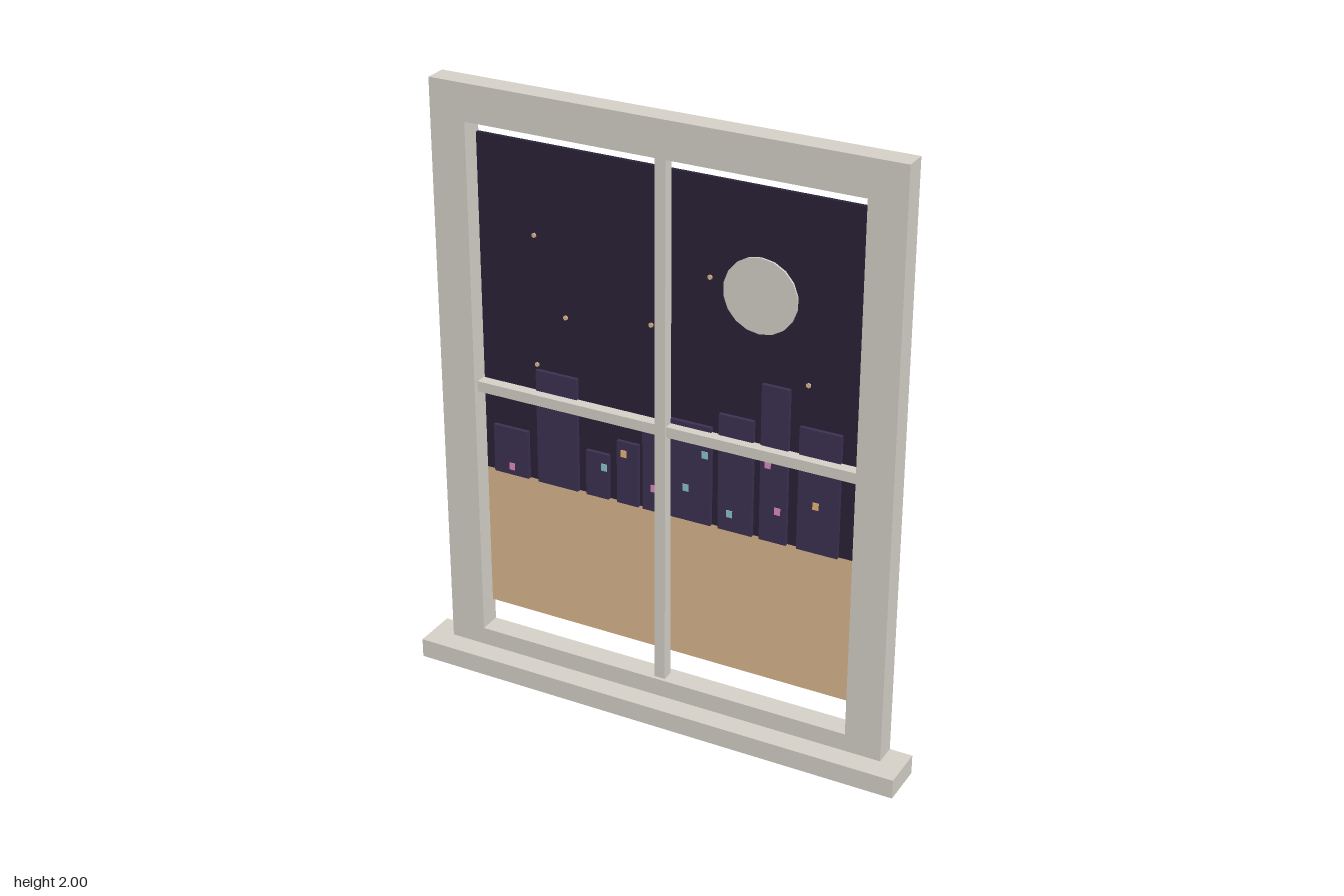
import * as THREE from 'three';

const mat = (color) => new THREE.MeshStandardMaterial({ color });

export function createModel() {
  const root = new THREE.Group();
  root.name = 'nightWindow';

  const cream = mat(0xd8d3cb);
  const night = mat(0x2b2239);
  const tower = mat(0x3d3152);
  const sand = mat(0xdeba90);
  const lights = { pink: mat(0xe58fc0), teal: mat(0x8fc9d0), amber: mat(0xf0b878) };

  // Box given by its extents on each axis
  const box = (name, x0, x1, y0, y1, z0, z1, material, parent = root) => {
    const m = new THREE.Mesh(new THREE.BoxGeometry(x1 - x0, y1 - y0, z1 - z0), material);
    m.position.set((x0 + x1) / 2, (y0 + y1) / 2, (z0 + z1) / 2);
    m.name = name;
    parent.add(m);
    return m;
  };

  // Frame: one extruded rectangle with the opening cut out
  const rect = (C, w, y0, y1) => new C([
    new THREE.Vector2(-w, y0), new THREE.Vector2(w, y0),
    new THREE.Vector2(w, y1), new THREE.Vector2(-w, y1),
  ]);
  const outline = rect(THREE.Shape, 0.77, 0.065, 2);
  outline.holes.push(rect(THREE.Path, 0.65, 0.125, 1.88));
  const frame = new THREE.Mesh(
    new THREE.ExtrudeGeometry(outline, { depth: 0.075, bevelEnabled: false }), cream);
  frame.position.z = -0.075;
  frame.name = 'frame';
  root.add(frame);

  // Sill and glazing bars
  box('sill', -0.845, 0.845, 0, 0.065, -0.075, 0.075, cream);
  box('verticalBar', -0.018, 0.018, 0.125, 1.88, -0.05, -0.012, cream);
  box('horizontalBar', -0.65, 0.65, 0.985, 1.02, -0.055, -0.018, cream);

  // Backdrop panels
  box('sky', -0.65, 0.65, 0.7, 1.83, -0.074, -0.061, night);
  box('ground', -0.65, 0.65, 0.205, 0.7, -0.074, -0.061, sand);

  // Moon disc
  const moon = new THREE.Mesh(new THREE.CylinderGeometry(0.12, 0.12, 0.008, 18), cream);
  moon.rotation.x = Math.PI / 2;
  moon.position.set(0.305, 1.495, -0.058);
  moon.name = 'moon';
  root.add(moon);

  // Skyline: left, right, top
  const skyline = new THREE.Group();
  skyline.name = 'skyline';
  root.add(skyline);
  [
    [-0.615, -0.49, 0.865], [-0.455, -0.31, 1.09], [-0.28, -0.2, 0.855],
    [-0.17, -0.095, 0.915], [-0.08, -0.005, 1.0], [0.01, 0.155, 1.035],
    [0.18, 0.295, 1.09], [0.32, 0.41, 1.22], [0.445, 0.58, 1.11],
  ].forEach(([l, r, t], i) =>
    box(`building${i + 1}`, l, r, 0.7, t, -0.062, -0.048, tower, skyline));

  // Lit windows
  [
    [-0.55, 0.73, 'pink'], [-0.215, 0.81, 'teal'], [-0.145, 0.875, 'amber'],
    [-0.04, 0.78, 'pink'], [-0.025, 0.83, 'teal'], [0.07, 0.813, 'teal'],
    [0.135, 0.94, 'teal'], [0.22, 0.76, 'teal'], [0.345, 0.96, 'pink'],
    [0.38, 0.81, 'pink'], [0.505, 0.86, 'amber'],
  ].forEach(([x, y, c], i) =>
    box(`litWindow${i + 1}`, x - 0.01, x + 0.01, y - 0.012, y + 0.012, -0.05, -0.046, lights[c], skyline));

  // Stars
  const stars = new THREE.Group();
  stars.name = 'stars';
  root.add(stars);
  [
    [-0.455, 1.535], [-0.35, 1.285], [-0.455, 1.105],
    [-0.055, 1.325], [0.14, 1.52], [0.465, 1.245],
  ].forEach(([x, y], i) => {
    const s = new THREE.Mesh(new THREE.CylinderGeometry(0.008, 0.008, 0.006, 6), sand);
    s.rotation.x = Math.PI / 2;
    s.position.set(x, y, -0.059);
    s.name = `star${i + 1}`;
    stars.add(s);
  });

  return root;
}
